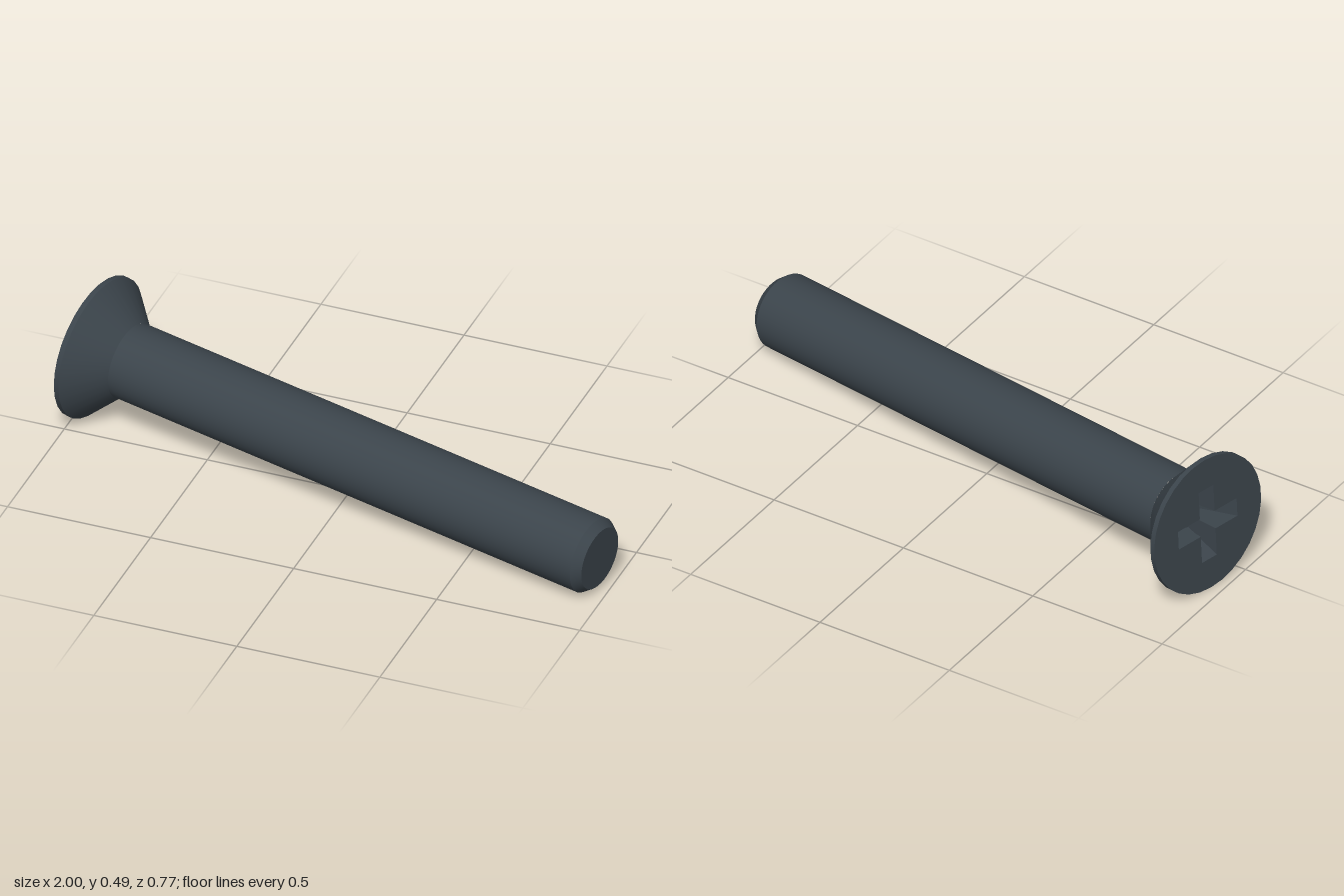
import * as THREE from 'three';
import { toCreasedNormals } from 'three/addons/utils/BufferGeometryUtils.js';

const HEAD_R = 0.246, SHAFT_R = 0.13, RIM = 0.018, NECK = 0.134, LENGTH = 1.97;
const HEAD_SIDES = 30, RECESS_DEPTH = 0.12;

// Outline of a plus sign, counter-clockwise: arm reach a, half width w
function cross(a, w) {
  const pts = [];
  for (let i = 0; i < 4; i++) {
    const c = [1, 0, -1, 0][i], s = [0, 1, 0, -1][i];
    for (const [x, y] of [[a, -w], [a, w], [w, w]]) {
      pts.push(new THREE.Vector2(x * c - y * s, x * s + y * c));
    }
  }
  return pts;
}

function lathe(profile, sides) {
  const pts = profile.map(([r, y]) => new THREE.Vector2(r, y));
  return toCreasedNormals(new THREE.LatheGeometry(pts, sides), 0.5);
}

// Sloping walls between the recess mouth and its floor
function recessWalls(mouth, floor) {
  const v = [];
  mouth.forEach((p, i) => {
    const j = (i + 1) % mouth.length;
    const a = [p.x, 0, p.y], b = [mouth[j].x, 0, mouth[j].y];
    const c = [floor[i].x, RECESS_DEPTH, floor[i].y], d = [floor[j].x, RECESS_DEPTH, floor[j].y];
    v.push(...a, ...b, ...c, ...b, ...d, ...c);
  });
  const g = new THREE.BufferGeometry();
  g.setAttribute('position', new THREE.Float32BufferAttribute(v, 3));
  g.computeVertexNormals();
  return g;
}

export function createModel() {
  const steel = new THREE.MeshStandardMaterial({ color: 0x3b444b });
  steel.name = 'dark steel';

  const screw = new THREE.Group();
  screw.name = 'screw';
  const add = (name, geometry) => {
    const mesh = new THREE.Mesh(geometry, steel);
    mesh.name = name;
    screw.add(mesh);
  };

  // Countersunk head: thin rim, then a cone down to the shaft
  add('headCone', lathe([[HEAD_R, 0], [HEAD_R, RIM], [SHAFT_R, NECK]], HEAD_SIDES));

  // Flat head face with a cross-shaped opening
  const mouth = cross(0.135, 0.034), floor = cross(0.075, 0.026);
  const rim = [];
  for (let i = 0; i < HEAD_SIDES; i++) {
    const t = (i / HEAD_SIDES) * Math.PI * 2;
    rim.push(new THREE.Vector2(HEAD_R * Math.sin(t), HEAD_R * Math.cos(t)));
  }
  const face = new THREE.Shape(rim);
  face.holes.push(new THREE.Path(mouth));
  add('headFace', new THREE.ShapeGeometry(face).rotateX(Math.PI / 2));

  // Driver recess
  add('recessWalls', recessWalls(mouth, floor));
  add('recessFloor', new THREE.ShapeGeometry(new THREE.Shape(floor))
    .rotateX(Math.PI / 2).translate(0, RECESS_DEPTH, 0));

  // Plain shaft with a chamfered tip
  add('shaft', lathe([
    [SHAFT_R, NECK], [SHAFT_R, LENGTH - 0.03], [0.108, LENGTH], [0, LENGTH],
  ], 40));

  // Lay the screw down, resting on the head rim and the tip
  const axis = new THREE.Vector3(0.9766, -0.0589, 0.2075).normalize();
  const side = new THREE.Vector3(0, 1, 0).cross(axis).normalize();
  const up = new THREE.Vector3().crossVectors(side, axis);
  screw.quaternion.setFromRotationMatrix(new THREE.Matrix4().makeBasis(side, axis, up));
  screw.position.set(-0.947, 0.2458, -0.1445);

  const model = new THREE.Group();
  model.name = 'countersunkScrew';
  model.add(screw);
  return model;
}
